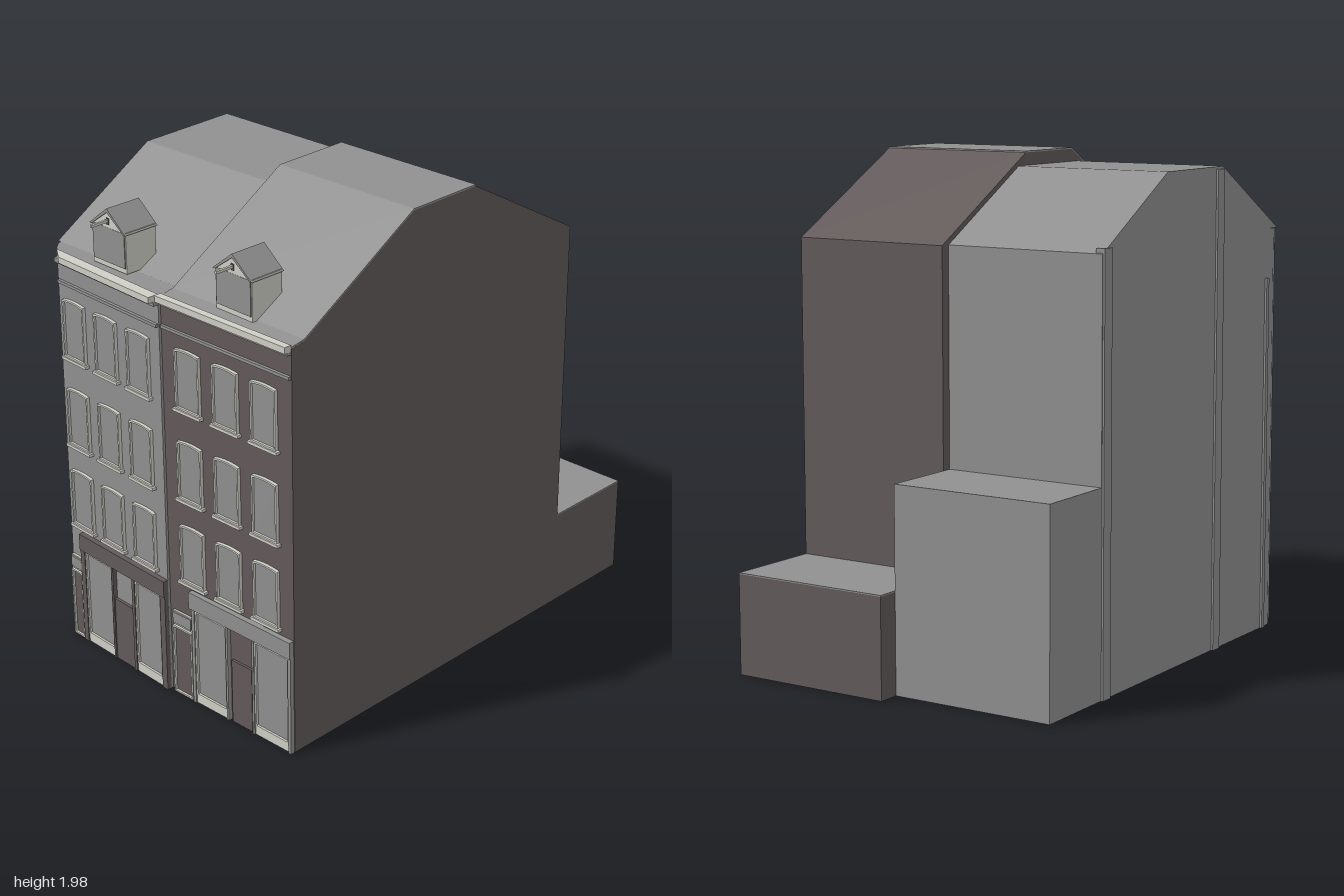
import * as THREE from 'three';

const mat = (name, color) => {
  const m = new THREE.MeshStandardMaterial({ color });
  m.name = name;
  return m;
};
const grey = mat('grey', 0x909090);
const brown = mat('brown', 0x635a5a);
const cream = mat('cream', 0xcfcfc6);

// Plan lines of the side walls and the party wall, x as a function of z
const leftWall = z => -0.62 + (z - 0.8) * 0.048;
const partyWall = z => 0.04 + (z - 0.94) * 0.034;
const rightWall = z => 0.69 + (z - 0.92) * 0.0235;

function add(parent, name, geometry, material) {
  const mesh = new THREE.Mesh(geometry, material);
  mesh.name = name;
  parent.add(mesh);
  return mesh;
}

// Box given by its limits
function box(parent, name, material, x0, x1, y0, y1, z0, z1) {
  const g = new THREE.BoxGeometry(x1 - x0, y1 - y0, z1 - z0);
  g.translate((x0 + x1) / 2, (y0 + y1) / 2, (z0 + z1) / 2);
  return add(parent, name, g, material);
}

function extrude(shape, depth) {
  return new THREE.ExtrudeGeometry(shape, { depth, bevelEnabled: false, curveSegments: 6 });
}

const polygon = pts => new THREE.Shape(pts.map(p => new THREE.Vector2(p[0], p[1])));

// Side profile [z, y] stretched between two slanting walls
function profilePrism(parent, name, material, pts, wallA, wallB) {
  const g = extrude(polygon(pts.map(([z, y]) => [-z, y])), 1);
  const p = g.attributes.position;
  for (let i = 0; i < p.count; i++) {
    const z = -p.getX(i), t = p.getZ(i);
    p.setXYZ(i, THREE.MathUtils.lerp(wallA(z), wallB(z), t), p.getY(i), z - 0.022 * (t - 0.5));
  }
  g.computeVertexNormals();
  return add(parent, name, g, material);
}

// Plan outline [x, z] raised from y0 to y1
function planPrism(parent, name, material, pts, y0, y1) {
  const g = extrude(polygon(pts.map(([x, z]) => [x, -z])), y1 - y0);
  g.rotateX(-Math.PI / 2).translate(0, y0, 0);
  return add(parent, name, g, material);
}

// Opening outline with a slightly arched head
function arched(w, h, rise, Type = THREE.Shape) {
  const s = new Type();
  s.moveTo(-w / 2, 0);
  s.lineTo(w / 2, 0);
  s.lineTo(w / 2, h - rise);
  s.quadraticCurveTo(0, h + rise, -w / 2, h - rise);
  s.closePath();
  return s;
}

// Pane with a thin frame around it
function framedPane(parent, name, x, y, w, h, rise, pane) {
  const g = new THREE.Group();
  g.name = name;
  g.position.set(x, y, 0);
  const frame = arched(w, h, rise);
  const hole = arched(w - 0.014, h - 0.014, rise, THREE.Path);
  frame.holes.push(new THREE.Path(hole.getPoints(6).map(p => p.add(new THREE.Vector2(0, 0.007)))));
  add(g, 'frame', extrude(frame, 0.014), cream);
  add(g, 'pane', extrude(arched(w - 0.006, h - 0.006, rise), 0.005), pane);
  parent.add(g);
  return g;
}

// Three rows of three sash windows with sills
function windows(parent, columns) {
  for (const y of [0.51, 0.86, 1.23])
    for (const x of columns) {
      framedPane(parent, 'window', x, y, 0.125, 0.24, 0.006, grey);
      box(parent, 'windowSill', cream, x - 0.072, x + 0.072, y - 0.012, y, 0, 0.02);
    }
}

// Narrow street door with its transom box
function sideDoor(parent, x0, x1) {
  framedPane(parent, 'sideDoor', (x0 + x1) / 2, 0, x1 - x0, 0.295, 0, brown);
  box(parent, 'transomFrame', cream, x0, x1, 0.3, 0.36, 0, 0.01);
  box(parent, 'transom', grey, x0 + 0.004, x1, 0.31, 0.355, 0, 0.016);
}

// Shop window pane over a low plinth
function shopWindow(parent, x0, x1) {
  framedPane(parent, 'shopWindow', (x0 + x1) / 2, 0.035, x1 - x0, 0.37, 0, grey);
  box(parent, 'shopPlinth', cream, x0, x1, 0, 0.035, 0, 0.012);
}

function shopFrame(parent, material, x0, x1, piers) {
  box(parent, 'shopFascia', material, x0, x1, 0.41, 0.48, 0, 0.022);
  for (const [a, b] of piers) box(parent, 'shopPier', material, a, b, 0, 0.41, 0, 0.018);
}

// Gabled dormer with a hoist beam
function dormer(parent, x, zFront) {
  const g = new THREE.Group();
  g.name = 'dormer';
  g.position.set(x, 0, zFront);
  box(g, 'dormerBody', cream, -0.093, 0.093, 1.655, 1.815, -0.15, -0.008);
  box(g, 'dormerWindow', grey, -0.088, 0.088, 1.675, 1.812, -0.01, -0.004);
  const gable = add(g, 'pediment', extrude(polygon([[-0.09, 1.812], [0.09, 1.812], [0, 1.878]]), 0.145), cream);
  gable.position.z = -0.15;
  const roof = add(g, 'dormerRoof', extrude(polygon(
    [[-0.1, 1.808], [-0.088, 1.808], [0, 1.873], [0.088, 1.808], [0.1, 1.808], [0, 1.888]]), 0.155), grey);
  roof.position.z = -0.155;
  box(g, 'gableVent', brown, -0.007, 0.007, 1.825, 1.85, -0.008, -0.002);
  box(g, 'hoistBeam', cream, -0.005, 0.005, 1.835, 1.845, -0.01, 0.075);
  parent.add(g);
}

function facadeGroup(parent, name, z, angle) {
  const g = new THREE.Group();
  g.name = name;
  g.position.z = z;
  g.rotation.y = angle;
  parent.add(g);
  return g;
}

export function createModel() {
  const model = new THREE.Group();
  model.name = 'townHouses';

  // Grey corner house, with a lower rear wing
  profilePrism(model, 'cornerHouseBody', grey, [
    [0.8, 0], [0.8, 1.65], [0.86, 1.65], [0.385, 1.92], [-0.05, 1.92],
    [-0.525, 1.65], [-0.525, 0.8], [-0.878, 0.8], [-0.878, 0]], leftWall, partyWall);
  planPrism(model, 'cornerHouseFront', grey, [
    [-0.62, 0.8], [-0.616, 0.845], [-0.6, 0.885], [-0.57, 0.917], [-0.53, 0.934],
    [0.04, 0.95], [0.036, 0.8]], 0, 1.648);

  // Strips on the side wall
  for (const [z, w, top] of [[-0.485, 0.05, 1.67], [0.37, 0.05, 1.91], [0.78, 0.02, 1.45]])
    box(model, 'wallStrip', grey, leftWall(z) - 0.01, leftWall(z) + 0.03, 0, top, z - w / 2, z + w / 2);

  // Brown house with grey roof coverings
  profilePrism(model, 'brownHouseBody', brown, [
    [0.928, 0], [0.928, 1.64], [0.865, 1.65], [0.31, 1.97], [-0.022, 1.97],
    [-0.588, 1.65], [-0.588, 0.395], [-0.99, 0.395], [-0.99, 0]], partyWall, rightWall);
  const covering = (name, pts) => profilePrism(model, name, grey, pts, partyWall, rightWall);
  covering('eaveCovering', [[0.93, 1.64], [0.93, 1.646], [0.865, 1.656], [0.865, 1.65]]);
  covering('frontRoof', [[0.865, 1.65], [0.865, 1.656], [0.31, 1.976], [0.31, 1.97]]);
  covering('topRoof', [[0.31, 1.97], [0.31, 1.976], [-0.022, 1.976], [-0.022, 1.97]]);
  covering('rearWingRoof', [[-0.588, 0.395], [-0.588, 0.4], [-0.99, 0.4], [-0.99, 0.395]]);

  // Corner house facade
  const a = facadeGroup(model, 'cornerHouseFacade', 0.949, -0.028);
  windows(a, [-0.455, -0.268, -0.08]);
  planPrism(a, 'cornice', cream, [[-0.55, 0], [-0.48, 0.045], [0.04, 0.045], [0.04, 0]], 1.63, 1.655);
  box(a, 'corniceBase', grey, -0.54, 0.04, 1.612, 1.63, 0, 0.022);
  box(a, 'stringCourse', grey, -0.54, 0.035, 1.525, 1.537, 0, 0.012);
  shopFrame(a, brown, -0.475, 0.04, [[-0.475, -0.45], [-0.285, -0.275], [-0.16, -0.145], [0.01, 0.04]]);
  shopWindow(a, -0.45, -0.285);
  shopWindow(a, -0.145, 0.01);
  box(a, 'shopDoor', brown, -0.275, -0.16, 0, 0.27, 0, 0.012);
  sideDoor(a, -0.545, -0.478);

  // Brown house facade
  const b = facadeGroup(model, 'brownHouseFacade', 0.9385, 0.028);
  windows(b, [0.175, 0.368, 0.56]);
  box(b, 'cornice', cream, 0.04, 0.69, 1.63, 1.655, 0, 0.03);
  box(b, 'corniceBase', grey, 0.045, 0.69, 1.618, 1.63, 0, 0.018);
  box(b, 'stringCourse', grey, 0.045, 0.69, 1.525, 1.537, 0, 0.012);
  shopFrame(b, grey, 0.16, 0.69, [[0.17, 0.185], [0.352, 0.362], [0.49, 0.5], [0.675, 0.69]]);
  shopWindow(b, 0.185, 0.352);
  shopWindow(b, 0.5, 0.675);
  box(b, 'shopDoor', brown, 0.375, 0.48, 0, 0.27, 0, 0.01);
  sideDoor(b, 0.06, 0.162);

  dormer(model, -0.267, 0.918);
  dormer(model, 0.368, 0.89);
  return model;
}
